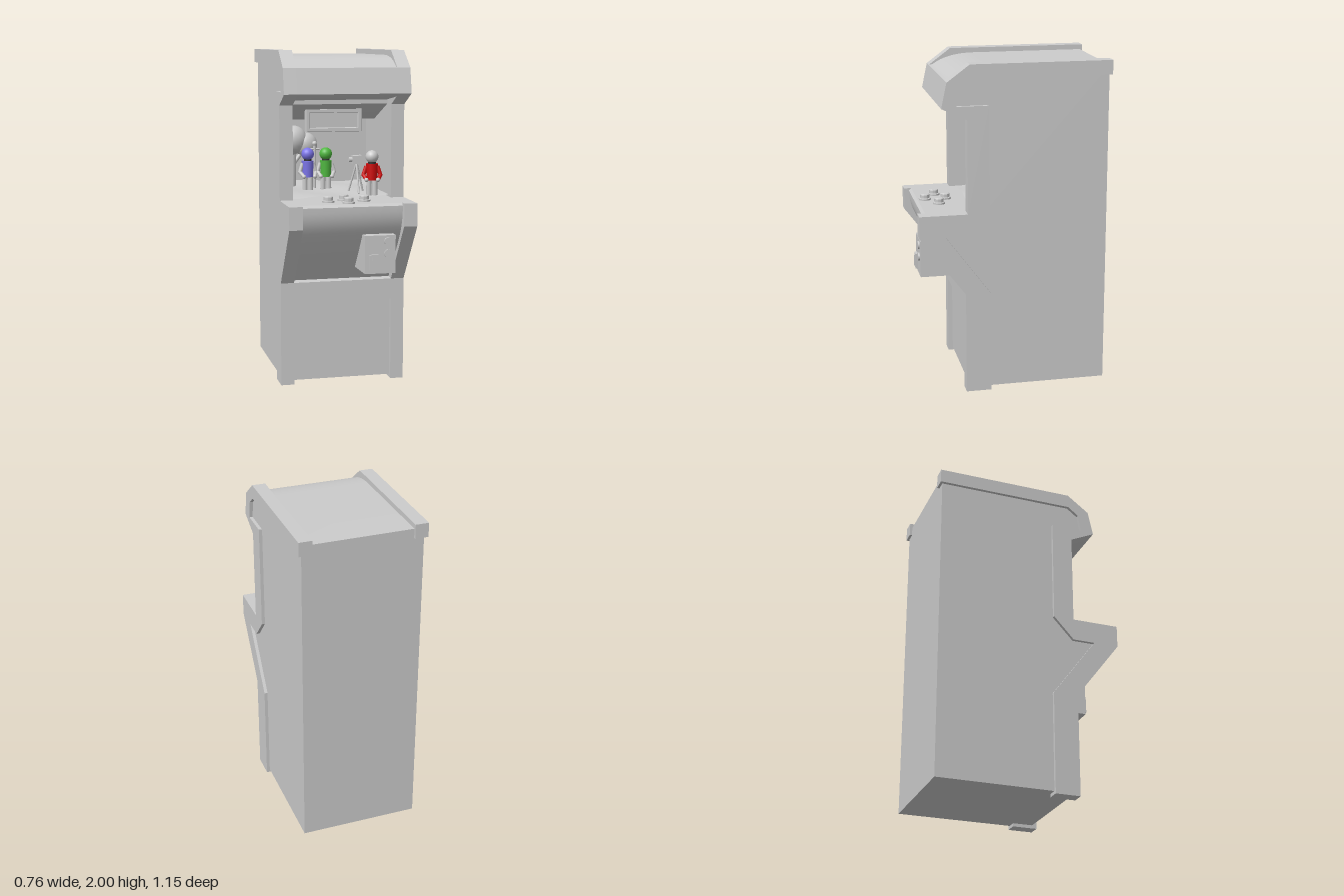
import * as THREE from 'three';
import { toCreasedNormals } from 'three/addons/utils/BufferGeometryUtils.js';

const mat = (color, side = THREE.FrontSide) => new THREE.MeshStandardMaterial({ color, side });
const grey = mat(0xcccccc);
const dark = mat(0x333333);

function add(parent, name, geometry, material = grey, x = 0, y = 0, z = 0) {
  const mesh = new THREE.Mesh(geometry, material);
  mesh.name = name;
  mesh.position.set(x, y, z);
  parent.add(mesh);
  return mesh;
}

// Side profile in (z, y), extruded across x from x0 to x1
function slab(shape, x0, x1) {
  const g = new THREE.ExtrudeGeometry(shape, { depth: x1 - x0, bevelEnabled: false, curveSegments: 12 });
  g.rotateY(-Math.PI / 2).translate(x1, 0, 0);
  return toCreasedNormals(g, 0.5);
}
const polygon = pts => new THREE.Shape(pts.map(p => new THREE.Vector2(...p)));

// Rod between two points
function rod(parent, name, a, b, r, material = grey) {
  const from = new THREE.Vector3(...a), to = new THREE.Vector3(...b);
  const dir = to.clone().sub(from);
  const m = add(parent, name, new THREE.CylinderGeometry(r, r, dir.length(), 12), material);
  m.position.copy(from).addScaledVector(dir, 0.5);
  m.quaternion.setFromUnitVectors(new THREE.Vector3(0, 1, 0), dir.normalize());
  return m;
}

const TRIM = [[-0.575, 2], [0.27, 2], [0.405, 1.9], [0.437, 1.75], [0.287, 1.68], [0.287, 1.12],
  [0.575, 1.12], [0.575, 0.985], [0.303, 0.625], [0.303, 0], [0.15, 0], [0.15, 0.62], [0.42, 0.985],
  [0.285, 0.985], [0.16, 1.12], [0.16, 1.76], [0.352, 1.76], [0.335, 1.865], [0.27, 1.915], [-0.575, 1.915]];

const SIDE = [[-0.56, 0.02], [-0.56, 1.965], [0.27, 1.965], [0.37, 1.89], [0.39, 1.765], [0.22, 1.72],
  [0.22, 1.08], [0.3, 1.02], [0.46, 1.02], [0.46, 0.96], [0.22, 0.64], [0.22, 0.02]];

// Middle of the cabinet, with the window, deck and door cut into its profile
function coreShape() {
  const s = new THREE.Shape();
  s.moveTo(-0.56, 0.02);
  s.lineTo(-0.56, 1.97);
  s.lineTo(0.12, 1.97);
  s.quadraticCurveTo(0.29, 1.97, 0.38, 1.905);
  s.lineTo(0.405, 1.9);
  for (const p of [[0.437, 1.75], [0.4, 1.732], [0.2, 1.705], [0.2, 1.68], [-0.1, 1.57], [-0.3, 1.57],
    [-0.3, 1.12], [0.53, 1.12], [0.545, 1.105]]) s.lineTo(...p);
  s.bezierCurveTo(0.545, 0.96, 0.47, 0.9, 0.25, 0.63);
  for (const p of [[0.303, 0.625], [0.303, 0.5], [0.275, 0.5], [0.275, 0.02]]) s.lineTo(...p);
  return s;
}

// Small standing figure with bent arms
function figure(name, x, z, headMat, bodyMat, armMat, turn) {
  const g = new THREE.Group();
  g.name = name;
  add(g, 'head', new THREE.SphereGeometry(0.039, 20, 14), headMat, 0, 0.235);
  add(g, 'neck', new THREE.CylinderGeometry(0.024, 0.024, 0.03, 16), dark, 0, 0.197);
  add(g, 'torso', new THREE.CylinderGeometry(0.037, 0.032, 0.1, 20), bodyMat, 0, 0.143);
  for (const s of [-1, 1]) {
    add(g, 'leg', new THREE.CylinderGeometry(0.015, 0.017, 0.1, 12), grey, s * 0.018, 0.05);
    const elbow = [s * 0.052, 0.125, 0.005];
    rod(g, 'upperArm', [s * 0.034, 0.178, 0], elbow, 0.012, armMat);
    rod(g, 'forearm', elbow, [s * 0.036, 0.1, 0.035], 0.011, armMat);
    add(g, 'elbow', new THREE.SphereGeometry(0.012, 12, 8), armMat, ...elbow);
    add(g, 'hand', new THREE.SphereGeometry(0.013, 12, 8), grey, s * 0.035, 0.098, 0.038);
  }
  g.position.set(x, 1.125, z);
  g.rotation.y = turn;
  return g;
}

function scene() {
  const g = new THREE.Group();
  g.name = 'windowDisplay';

  // Rolling ground that rises toward the back
  const ground = new THREE.PlaneGeometry(0.6, 0.54, 20, 18).rotateX(-Math.PI / 2);
  const p = ground.attributes.position;
  for (let i = 0; i < p.count; i++) {
    const x = p.getX(i), z = p.getZ(i);
    p.setY(i, 0.025 - 0.07 * z + 0.008 * Math.sin(x * 14) * Math.cos(z * 11));
  }
  ground.computeVertexNormals();
  add(g, 'ground', ground, mat(0xcccccc, THREE.DoubleSide), 0, 1.118, -0.03);

  // Tree
  rod(g, 'treeTrunk', [-0.22, 1.13, -0.16], [-0.215, 1.38, -0.16], 0.026);
  rod(g, 'treeBranch', [-0.215, 1.28, -0.16], [-0.14, 1.38, -0.16], 0.013);
  for (const [x, y, r] of [[-0.21, 1.44, 0.09], [-0.13, 1.41, 0.075], [-0.235, 1.4, 0.065]])
    add(g, 'treeCrown', new THREE.SphereGeometry(r, 20, 14), grey, x, y, -0.16).scale.z = 0.8;

  // Post with cross arm
  rod(g, 'post', [-0.085, 1.13, -0.1], [-0.085, 1.42, -0.1], 0.009);
  add(g, 'postTop', new THREE.SphereGeometry(0.016, 12, 8), grey, -0.085, 1.42, -0.1);
  rod(g, 'postArm', [-0.115, 1.385, -0.1], [-0.055, 1.385, -0.1], 0.006);

  // Box on a tripod
  add(g, 'tripodBox', new THREE.BoxGeometry(0.06, 0.05, 0.06), grey, 0.135, 1.335, 0.1);
  add(g, 'tripodLens', new THREE.CylinderGeometry(0.016, 0.016, 0.03, 16).rotateZ(Math.PI / 2), grey, 0.1, 1.335, 0.1);
  for (let i = 0; i < 3; i++) {
    const a = i * 2 * Math.PI / 3 + Math.PI / 2;
    rod(g, 'tripodLeg', [0.135, 1.315, 0.1], [0.135 + 0.055 * Math.cos(a), 1.13, 0.1 + 0.055 * Math.sin(a)], 0.006);
  }

  const purple = mat(0x7d76eb), green = mat(0x50b941), red = mat(0xd20c0c);
  g.add(figure('purpleFigure', -0.14, -0.05, purple, purple, grey, 0.1));
  g.add(figure('greenFigure', -0.025, -0.05, green, green, grey, -0.1));
  g.add(figure('redFigure', 0.205, 0.2, grey, red, red, -0.2));

  // Framed hanging sign
  const rect = (w, h, T) => new T([[-w, -h], [w, -h], [w, h], [-w, h]].map(q => new THREE.Vector2(...q)));
  const frame = rect(0.172, 0.067, THREE.Shape);
  frame.holes.push(rect(0.152, 0.048, THREE.Path));
  add(g, 'signFrame', new THREE.ExtrudeGeometry(frame, { depth: 0.03, bevelEnabled: true, bevelSize: 0.003, bevelThickness: 0.004, bevelSegments: 1 }),
    grey, -0.008, 1.577, 0.07);
  add(g, 'signPanel', new THREE.BoxGeometry(0.31, 0.1, 0.015), grey, -0.008, 1.577, 0.08);
  return g;
}

export function createModel() {
  const model = new THREE.Group();
  model.name = 'arcadeCabinet';

  add(model, 'cabinetCore', slab(coreShape(), -0.301, 0.301));
  for (const s of [-1, 1]) {
    const span = (a, b) => s > 0 ? [a, b] : [-b, -a];
    add(model, 'sidePanel', slab(polygon(SIDE), ...span(0.3, 0.36)));
    add(model, 'sideTrim', slab(polygon(TRIM), ...span(0.3, 0.38)));
  }
  model.add(scene());

  // Push buttons on the deck, in a diamond
  const button = new THREE.LatheGeometry([[0, 0.036], [0.024, 0.036], [0.028, 0.032], [0.028, 0.012],
    [0.037, 0.01], [0.037, 0]].reverse().map(q => new THREE.Vector2(...q)), 28);
  const buttonGeo = toCreasedNormals(button, 0.5);
  for (const [x, z] of [[-0.115, 0.415], [0.1, 0.415], [-0.01, 0.485], [-0.01, 0.36]])
    add(model, 'deckButton', buttonGeo, grey, x, 1.12, z);

  // Coin box with two round buttons and a slot plate
  const box = new THREE.Group();
  box.name = 'coinBox';
  add(box, 'boxBody', new THREE.BoxGeometry(0.185, 0.225, 0.23), grey, 0.163, 0.823, 0.44);
  for (const y of [0.9, 0.828])
    add(box, 'boxButton', new THREE.CylinderGeometry(0.024, 0.024, 0.02, 24).rotateX(Math.PI / 2), grey, 0.21, y, 0.555);
  add(box, 'slotPlate', new THREE.BoxGeometry(0.054, 0.092, 0.02), grey, 0.121, 0.778, 0.56);
  add(box, 'slotBar', new THREE.BoxGeometry(0.018, 0.066, 0.02), grey, 0.121, 0.778, 0.565);
  model.add(box);

  return model;
}
